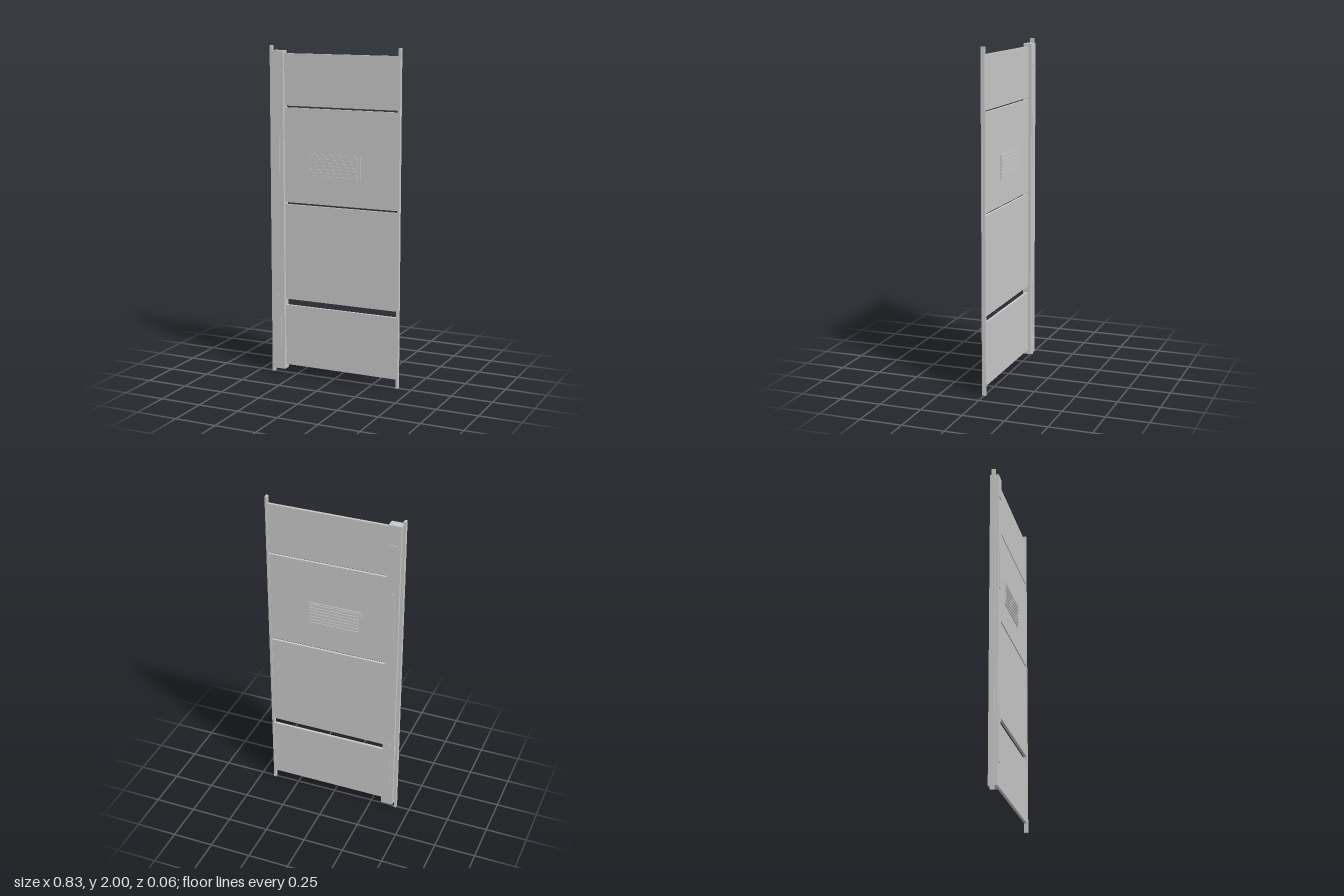
import * as THREE from 'three';

const grey = new THREE.MeshStandardMaterial({ color: 0xc8c8c8 });
grey.name = 'light grey metal';

// Box given by its limits in x and y and its limits in z
function slab(name, x0, x1, y0, y1, z0, z1) {
  const mesh = new THREE.Mesh(new THREE.BoxGeometry(x1 - x0, y1 - y0, z1 - z0), grey);
  mesh.name = name;
  mesh.position.set((x0 + x1) / 2, (y0 + y1) / 2, (z0 + z1) / 2);
  return mesh;
}

// Thin relief on a face; side is +1 for the front and -1 for the back
function relief(name, side, x0, x1, y0, y1, inner, outer) {
  const a = side * inner, b = side * outer;
  return slab(name, x0, x1, y0, y1, Math.min(a, b), Math.max(a, b));
}

export function createModel() {
  const model = new THREE.Group();
  model.name = 'panelDoor';

  // Side posts
  model.add(slab('rightPost', -0.417, -0.403, 0, 2, -0.012, 0.012));
  model.add(slab('leftPost', 0.403, 0.417, 0, 2, -0.012, 0.012));

  // Four panels separated by open slots
  const panels = [[0.054, 0.431], [0.469, 1.055], [1.068, 1.637], [1.648, 1.956]];
  for (const [y0, y1] of panels) {
    model.add(slab('panel', -0.403, 0.403, y0, y1, -0.008, 0.008));
  }

  // Upright column beside the right post
  model.add(slab('column', -0.397, -0.323, 0.027, 1.973, -0.026, 0.026));

  for (const side of [1, -1]) {
    // Latch plate and two long grips on the column
    model.add(relief('latchPlate', side, -0.385, -0.334, 1.826, 1.851, 0.026, 0.03));
    for (const [y0, y1] of [[1.22, 1.545], [0.168, 0.497]]) {
      model.add(relief('grip', side, -0.373, -0.347, y0, y1, 0.026, 0.03));
    }

    // Louvred vent on the upper middle panel
    const vent = new THREE.Group();
    vent.name = 'vent';
    vent.add(relief('ventPlate', side, -0.17, 0.17, 1.222, 1.372, 0.008, 0.013));
    for (let i = 0; i < 7; i++) {
      const y = 1.237 + i * 0.02;
      vent.add(relief('ventSlat', side, -0.156, 0.156, y - 0.005, y + 0.005, 0.013, 0.017));
    }
    model.add(vent);
  }
  return model;
}
